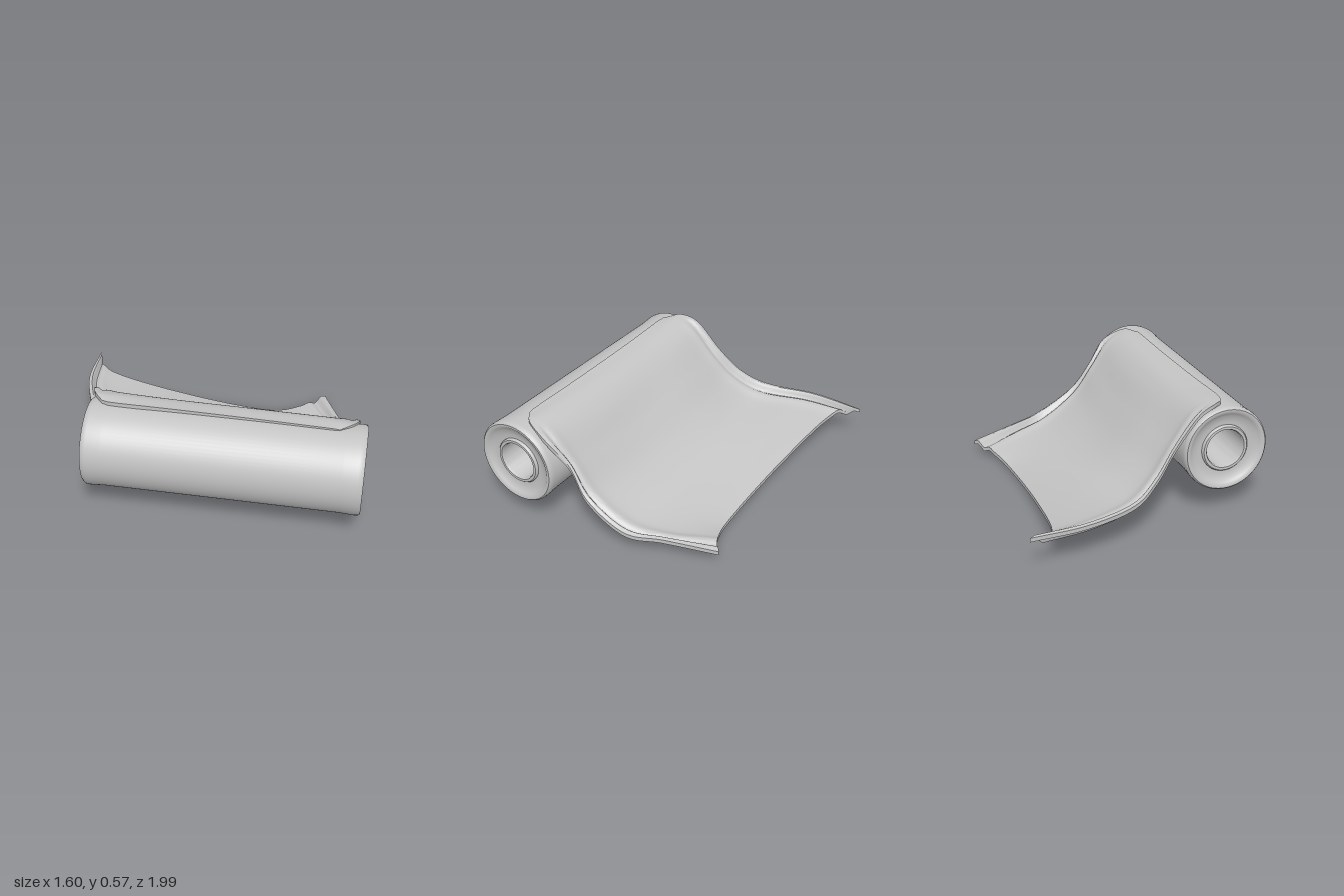
import * as THREE from 'three';
import { toCreasedNormals } from 'three/addons/utils/BufferGeometryUtils.js';

const centre = new THREE.Vector3(-0.213, 0.322, 0.355); // middle of the roll
const along = new THREE.Vector3(0.652, 0, 0.758); // roll axis
const away = new THREE.Vector3(0.758, 0, -0.652); // direction in which the sheet unrolls

// Lengthwise lines of the sheet, left hem to right hem: [distance from axis, height, position along axis]
const sheetLines = [
  [[0.01, 0.557, -0.59], [0.064, 0.565, -0.637], [0.154, 0.53, -0.665], [0.28, 0.39, -0.689],
    [0.39, 0.27, -0.74], [0.526, 0.2, -0.807], [0.776, 0.188, -0.882], [1.045, 0.18, -0.888]],
  [[-0.005, 0.56, -0.52], [0.07, 0.56, -0.55], [0.16, 0.51, -0.56], [0.27, 0.375, -0.58],
    [0.38, 0.25, -0.62], [0.52, 0.165, -0.68], [0.73, 0.15, -0.76], [0.92, 0.145, -0.8]],
  [[0, 0.552, -0.25], [0.1, 0.535, -0.25], [0.18, 0.48, -0.26], [0.29, 0.36, -0.27],
    [0.41, 0.235, -0.29], [0.54, 0.145, -0.31], [0.7, 0.1, -0.34], [0.87, 0.075, -0.38]],
  [[0, 0.542, 0.15], [0.1, 0.528, 0.15], [0.19, 0.46, 0.15], [0.29, 0.33, 0.15],
    [0.41, 0.2, 0.14], [0.55, 0.11, 0.13], [0.7, 0.06, 0.11], [0.865, 0.02, 0.09]],
  [[-0.005, 0.535, 0.47], [0.08, 0.53, 0.5], [0.17, 0.47, 0.51], [0.27, 0.34, 0.5],
    [0.38, 0.2, 0.49], [0.55, 0.09, 0.46], [0.72, 0.055, 0.4], [0.91, 0.04, 0.29]],
  [[-0.004, 0.53, 0.53], [0.058, 0.53, 0.597], [0.173, 0.47, 0.617], [0.269, 0.35, 0.581],
    [0.376, 0.21, 0.594], [0.574, 0.1, 0.579], [0.745, 0.085, 0.503], [0.986, 0.065, 0.407]],
];

const bump = (x, mid, width) => Math.exp(-(((x - mid) / width) ** 2));

// Thin slab swept through the lines, with soft pleats beside both hems
function sheetGeometry(rows = 70, cols = 80, thickness = 0.02) {
  const curves = sheetLines.map((line) => new THREE.CatmullRomCurve3(
    line.map(([u, y, s]) => new THREE.Vector3(u, y, s)), false, 'catmullrom', 0.5));
  const ring = 2 * (cols + 1);
  const positions = [];
  const index = [];
  const quad = (a, b, c, d) => index.push(a, b, c, b, d, c);
  for (let i = 0; i <= rows; i++) {
    const t = i / rows;
    const section = new THREE.CatmullRomCurve3(curves.map((c) => c.getPoint(t)), false, 'catmullrom', 0.5);
    const pleat = 0.012 * THREE.MathUtils.smoothstep(t, 0.15, 0.4);
    const put = (k, drop) => {
      const v = k / cols;
      const side = Math.min(v, 1 - v);
      const p = section.getPoint(v);
      const y = p.y - drop + pleat * (bump(side, 0.04, 0.025) - bump(side, 0.1, 0.025) + 0.7 * bump(side, 0.16, 0.03));
      positions.push(centre.x + p.x * away.x + p.z * along.x, y, centre.z + p.x * away.z + p.z * along.z);
    };
    for (let k = 0; k <= cols; k++) put(k, 0);
    for (let k = cols; k >= 0; k--) put(k, thickness);
  }
  // Upper face, lower face and the two side edges
  for (let i = 0; i < rows; i++) {
    for (let j = 0; j < ring; j++) {
      const next = (j + 1) % ring;
      quad(i * ring + j, i * ring + next, (i + 1) * ring + j, (i + 1) * ring + next);
    }
  }
  // Edge on the roll and free edge
  const last = rows * ring;
  for (let k = 0; k < cols; k++) {
    const low = ring - 1 - k;
    quad(low, low - 1, k, k + 1);
    quad(last + k, last + k + 1, last + low, last + low - 1);
  }
  const geometry = new THREE.BufferGeometry();
  geometry.setAttribute('position', new THREE.Float32BufferAttribute(positions, 3));
  geometry.setIndex(index);
  return toCreasedNormals(geometry, 0.9);
}

// Hollow turned part, alike at both ends; end runs from the hole outwards as [radius, height]
function turned(end) {
  const points = [
    ...end.map(([r, y]) => new THREE.Vector2(r, -y)),
    ...end.slice().reverse().map(([r, y]) => new THREE.Vector2(r, y)),
  ];
  points.push(points[0].clone());
  return toCreasedNormals(new THREE.LatheGeometry(points, 72), 0.7);
}

export function createModel() {
  const model = new THREE.Group();
  model.name = 'paperRoll';
  const paper = new THREE.MeshStandardMaterial({ color: 0xc4c4c4 });
  paper.name = 'pale grey paper';
  const add = (parent, name, geometry) => {
    const mesh = new THREE.Mesh(geometry, paper);
    mesh.name = name;
    parent.add(mesh);
  };

  // Wound roll with rounded rims, sunken ends and an open core
  const roll = new THREE.Group();
  roll.name = 'roll';
  roll.position.copy(centre);
  const axis = new THREE.Vector3(along.x, -0.012, along.z).normalize();
  roll.quaternion.setFromUnitVectors(new THREE.Vector3(0, 1, 0), axis);
  add(roll, 'woundPaper', turned([
    [0.115, 0.63], [0.135, 0.63], [0.165, 0.637], [0.18, 0.648], [0.192, 0.657],
    [0.204, 0.657], [0.212, 0.648], [0.214, 0.63], [0.21, 0.56],
  ]));
  add(roll, 'coreTube', turned([[0.094, 0.635], [0.099, 0.645], [0.112, 0.645], [0.118, 0.638], [0.119, 0.6]]));
  model.add(roll);

  // Loose end draped down behind the roll
  add(model, 'looseSheet', sheetGeometry());
  return model;
}
